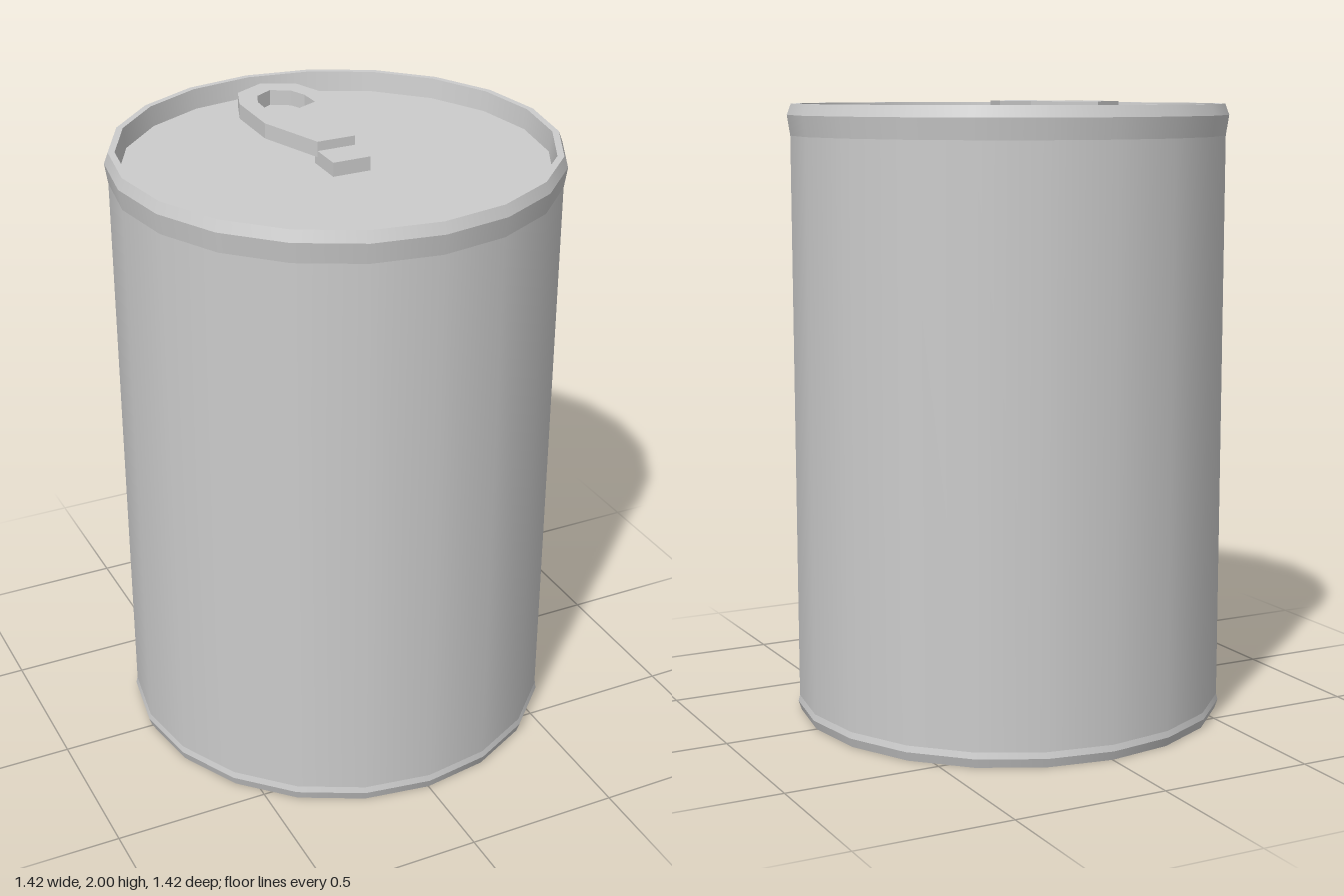
import * as THREE from 'three';

const SIDES = 20;
const LID_Y = 1.925;

export function createModel() {
  const can = new THREE.Group();
  can.name = 'can';
  const grey = new THREE.MeshStandardMaterial({ color: 0xcccccc });

  const add = (name, geometry, parent = can) => {
    const mesh = new THREE.Mesh(geometry, grey);
    mesh.name = name;
    parent.add(mesh);
    return mesh;
  };

  // One lathe per profile segment: smooth around the can, sharp between bands
  const addBands = (name, profile) => {
    const group = new THREE.Group();
    group.name = name;
    can.add(group);
    const pts = profile.map(([r, y]) => new THREE.Vector2(r, y));
    for (let i = 0; i < pts.length - 1; i++) {
      add(`${name}Band${i + 1}`, new THREE.LatheGeometry([pts[i], pts[i + 1]], SIDES), group);
    }
  };

  // Recessed base with its foot ring
  addBands('base', [[0, 0.04], [0.62, 0.04], [0.665, 0], [0.695, 0], [0.705, 0.03], [0.7, 0.05]]);

  // Straight wall
  addBands('wall', [[0.7, 0.05], [0.7, 1.89]]);

  // Flared top rim, dropping inside to the sunken lid
  addBands('rim', [[0.7, 1.89], [0.71, 1.955], [0.697, 1.99], [0.676, 1.99], [0.668, LID_Y]]);
  addBands('lid', [[0.668, LID_Y], [0, LID_Y]]);

  // Pull tab: half outlines as [x, distance to the back], mirrored across x
  const mirrored = (half) => [
    ...half,
    ...half.filter(([x]) => x > 0).reverse().map(([x, y]) => [-x, y]),
  ].map(([x, y]) => new THREE.Vector2(x, y));

  const tabShape = new THREE.Shape(
    mirrored([[0.063, 0], [0.142, 0.22], [0.142, 0.42], [0.105, 0.52], [0, 0.575]]));
  tabShape.holes.push(new THREE.Path(
    mirrored([[0, 0.295], [0.085, 0.335], [0.082, 0.41], [0.06, 0.465], [0, 0.5]])));

  const tab = new THREE.ExtrudeGeometry(tabShape, { depth: 0.05, bevelEnabled: false });
  tab.rotateX(-Math.PI / 2);
  add('pullTab', tab).position.y = 1.95;

  // Block that fixes the tab to the lid
  const block = add('tabMount', new THREE.BoxGeometry(0.126, 0.05, 0.13));
  block.position.set(0, LID_Y + 0.02, 0.045);

  return can;
}
